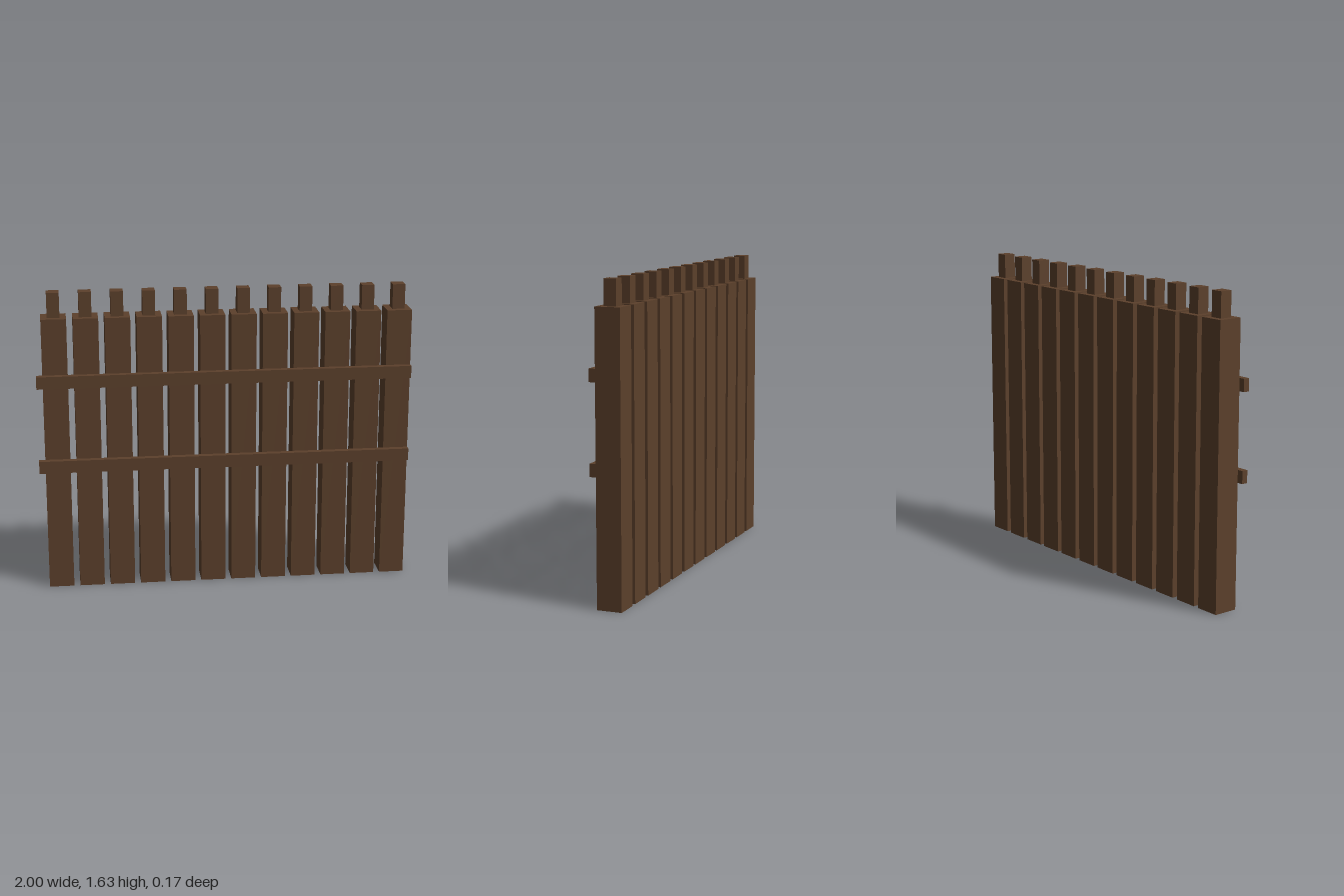
import * as THREE from 'three';

const U = 1 / 30; // building unit
const POSTS = 12;

export function createModel() {
  const fence = new THREE.Group();
  fence.name = 'fence';
  const wood = new THREE.MeshStandardMaterial({ color: 0x5c402b });
  wood.name = 'dark wood';

  // Box sized in building units, placed by its centre x, base y and centre z
  const addBox = (name, [w, h, d], [x, y, z]) => {
    const mesh = new THREE.Mesh(new THREE.BoxGeometry(w * U, h * U, d * U), wood);
    mesh.position.set(x * U, (y + h / 2) * U, z * U);
    mesh.name = name;
    fence.add(mesh);
  };

  // Square posts, each with a narrower tip
  for (let i = 0; i < POSTS; i++) {
    const x = -27 + i * 5;
    addBox(`post${i + 1}`, [4, 45, 4], [x, 0, -0.5]);
    addBox(`postTip${i + 1}`, [2, 4, 2], [x, 45, -0.5]);
  }

  // Rails across the front
  addBox('lowerRail', [60, 2, 1], [0, 20, 2]);
  addBox('upperRail', [60, 2, 1], [0, 34, 2]);

  return fence;
}
